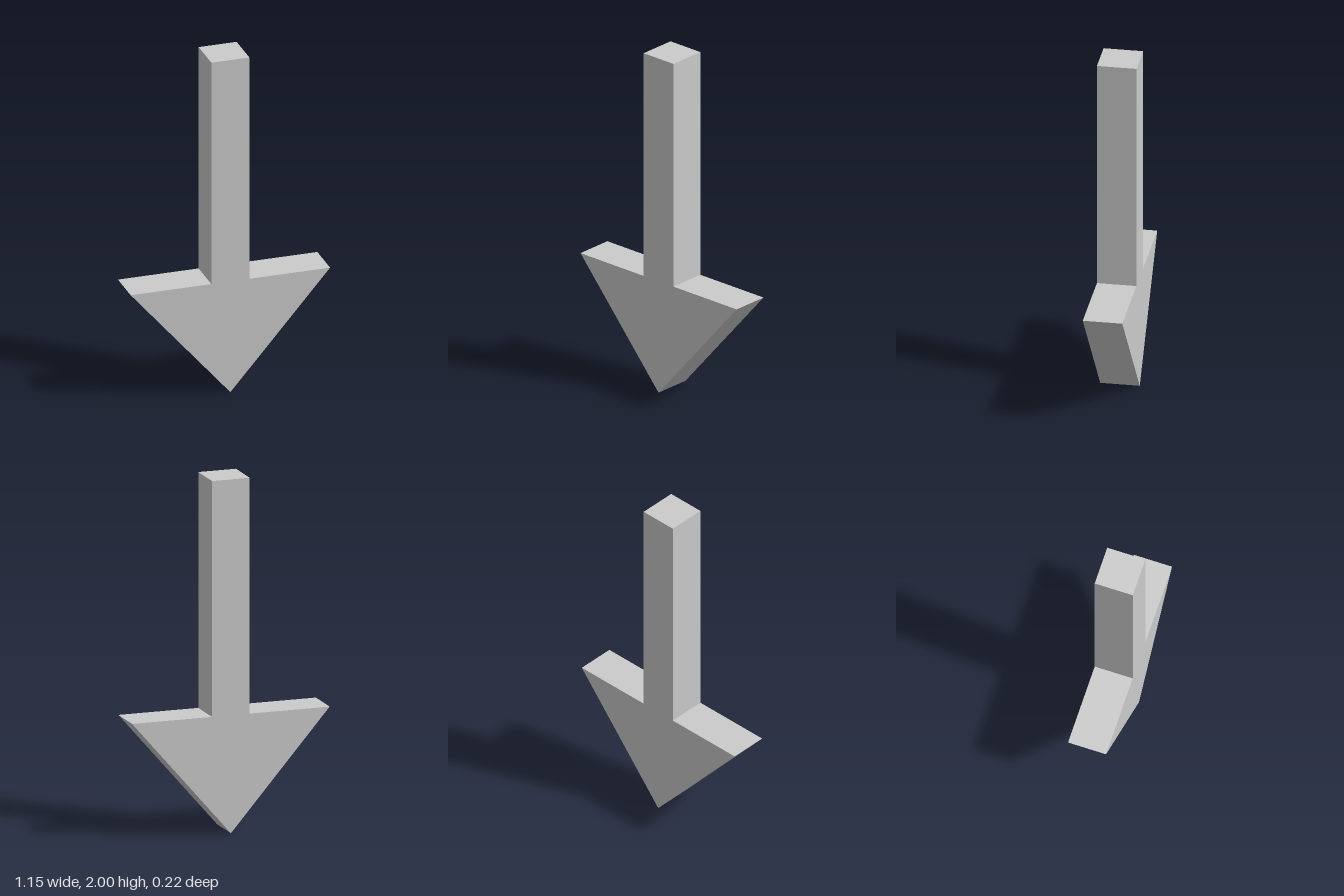
import * as THREE from 'three';

const HEIGHT = 2;
const HEAD_HEIGHT = 0.667;
const HEAD_HALF = 0.577;
const SHAFT_HALF = 0.11;
const DEPTH = 0.22;

export function createModel() {
  const group = new THREE.Group();
  group.name = 'downArrow';

  // Arrow outline, counter-clockwise from the tip
  const outline = new THREE.Shape([
    [0, 0],
    [HEAD_HALF, HEAD_HEIGHT],
    [SHAFT_HALF, HEAD_HEIGHT],
    [SHAFT_HALF, HEIGHT],
    [-SHAFT_HALF, HEIGHT],
    [-SHAFT_HALF, HEAD_HEIGHT],
    [-HEAD_HALF, HEAD_HEIGHT],
  ].map(([x, y]) => new THREE.Vector2(x, y)));

  // Shaft and head as one solid slab, centred in depth
  const geometry = new THREE.ExtrudeGeometry(outline, { depth: DEPTH, bevelEnabled: false });
  geometry.translate(0, 0, -DEPTH / 2);

  const material = new THREE.MeshStandardMaterial({ color: 0xcccccc, flatShading: true });
  const arrow = new THREE.Mesh(geometry, material);
  arrow.name = 'arrow';
  group.add(arrow);
  return group;
}
